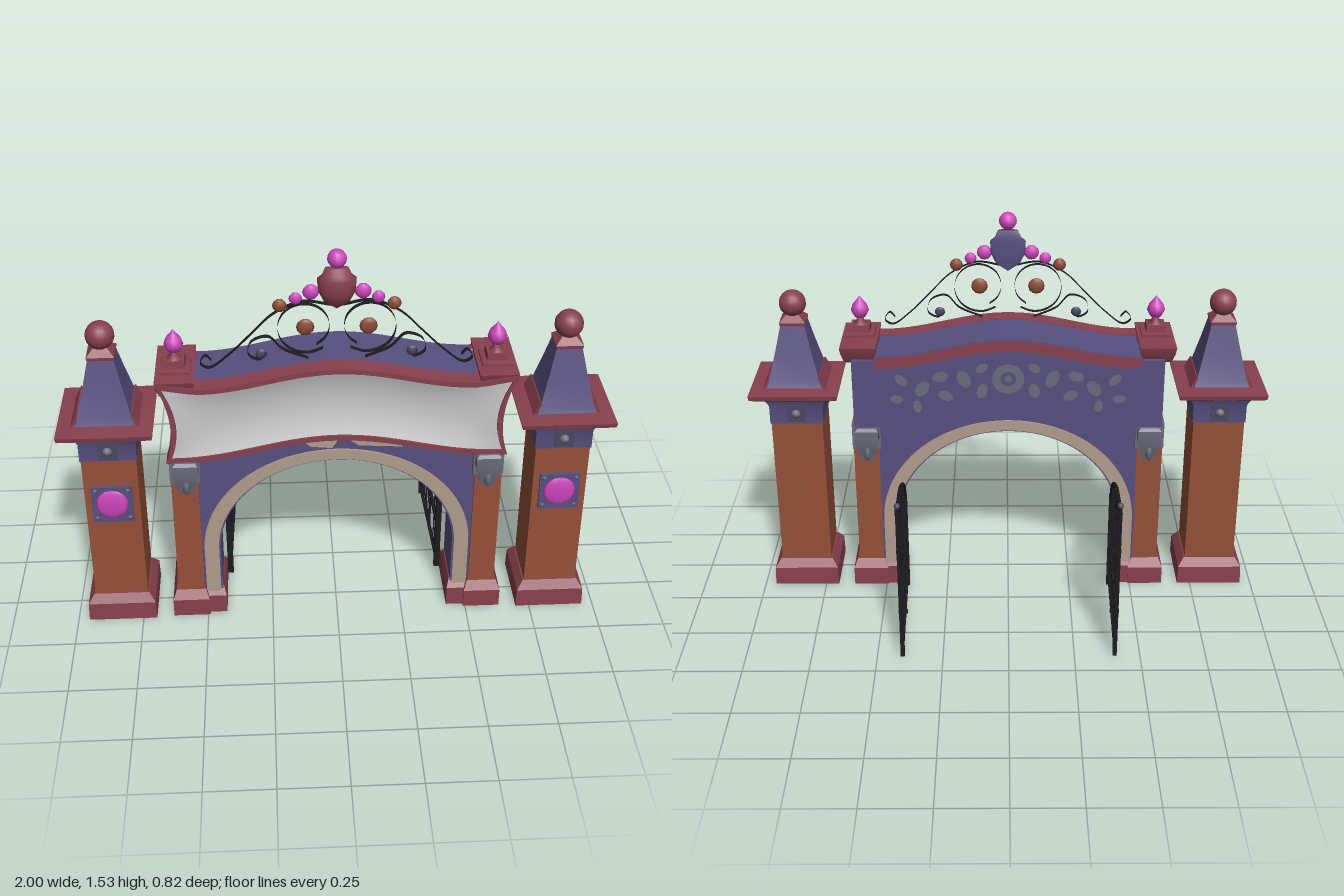
import * as THREE from 'three';
import { toCreasedNormals } from 'three/addons/utils/BufferGeometryUtils.js';

const mat = (name, color, side = THREE.FrontSide) => {
  const m = new THREE.MeshStandardMaterial({ color, side });
  m.name = name;
  return m;
};

export function createModel() {
  const root = new THREE.Group();
  root.name = 'archGateway';
  const brick = mat('brick orange', 0x96503a);
  const red = mat('dull red', 0x88404e);
  const purple = mat('slate purple', 0x575080);
  const magenta = mat('magenta', 0xcc46bc);
  const pale = mat('sign grey', 0xc8c8c8, THREE.DoubleSide);
  const tan = mat('tan stone', 0xb09c8c);
  const iron = mat('black iron', 0x1d1d20, THREE.DoubleSide);
  const grey = mat('bracket grey', 0x6b6b7d);
  const copper = mat('copper', 0x8c4c34);
  const dark = mat('dark slate', 0x4a4860);

  const add = (name, geo, m, x = 0, y = 0, z = 0, parent = root) => {
    const mesh = new THREE.Mesh(geo, m);
    mesh.name = name;
    mesh.position.set(x, y, z);
    parent.add(mesh);
    return mesh;
  };
  const pts = a => a.map(p => new THREE.Vector2(p[0], p[1]));
  const box = (w, h, d) => new THREE.BoxGeometry(w, h, d);
  const ball = (r, n = 12) => new THREE.SphereGeometry(r, n, Math.max(6, n * 0.7 | 0));
  // square section solid from [half width, y] steps; dz stretches the depth
  const square = (profile, dz = 1) => toCreasedNormals(new THREE.LatheGeometry(
    pts(profile.map(([r, y]) => [r * Math.SQRT2, y])), 4, Math.PI / 4).scale(1, 1, dz), 0.5);
  const lathe = (profile, n = 12) => new THREE.LatheGeometry(pts(profile), n);
  const slab = (shape, depth) => toCreasedNormals(
    new THREE.ExtrudeGeometry(shape, { depth, bevelEnabled: false, curveSegments: 24 }), 0.6);

  for (const s of [-1, 1]) {
    // outer tower
    const tower = new THREE.Group();
    tower.name = s > 0 ? 'leftTower' : 'rightTower';
    tower.position.set(s * 0.828, 0, 0.235);
    root.add(tower);
    const t = (name, geo, m, x = 0, y = 0, z = 0) => add(name, geo, m, x, y, z, tower);
    t('towerBase', square([[0, 0], [0.13, 0], [0.128, 0.075], [0.105, 0.108], [0, 0.108]]), red);
    t('towerShaft', box(0.2, 0.64, 0.2), brick, 0, 0.42);
    t('towerNeck', square([[0, 0.725], [0.104, 0.725], [0.104, 0.8], [0.12, 0.835], [0, 0.835]]), purple);
    t('towerCornice', square([[0, 0.825], [0.115, 0.825], [0.168, 0.852], [0.172, 0.87], [0.1, 0.878], [0, 0.878]]), red);
    t('towerRoof', square([[0.11, 0.87], [0.098, 0.9], [0.068, 1.02], [0.045, 1.12], [0, 1.13]]), purple);
    t('roofCollar', square([[0, 1.11], [0.048, 1.112], [0.05, 1.125], [0.025, 1.15], [0, 1.15]]), red);
    t('towerBall', ball(0.052, 16), red, 0, 1.19);
    for (const k of [-1, 1]) {
      const crest = t('roofSideCrest', box(0.008, 0.054, 0.21), red, k * 0.108, 0.894, 0);
      crest.rotation.z = k * 0.48;
      t('neckStudPlate', box(0.07, 0.07, 0.01), dark, 0, 0.768, k * 0.104);
      t('neckStud', ball(0.02, 8), grey, 0, 0.768, k * 0.104);
    }
    // jewelled plaque
    t('plaque', box(0.15, 0.155, 0.014), purple, 0, 0.535, 0.105);
    t('plaqueJewel', ball(0.062, 10), magenta, 0, 0.537, 0.111).scale.z = 0.2;
    for (const x of [-0.06, 0.06]) for (const y of [0.475, 0.597])
      t('rivet', ball(0.009, 6), grey, x, y, 0.11);

    // inner pillar
    add('pillarBase', square([[0, 0], [0.07, 0], [0.07, 0.075], [0.056, 0.108], [0, 0.108]], 1.8), red, s * 0.562, 0, 0.23);
    add('archFootBase', square([[0, 0], [0.04, 0], [0.04, 0.08], [0.03, 0.108], [0, 0.108]], 2.9), red, s * 0.467, 0, 0.225);
    add('pillarShaft', box(0.1, 0.64, 0.2), brick, s * 0.56, 0.42, 0.23);
    for (const k of [-1, 1]) {
      const z = 0.225 + k * 0.11;
      add('bracket', square([[0, 0.58], [0.026, 0.585], [0.036, 0.63], [0.046, 0.67], [0.046, 0.715], [0.036, 0.725], [0, 0.725]]), grey, s * 0.552, 0, z);
      add('bracketDrop', lathe([[0, 0.582], [0.014, 0.605], [0.011, 0.635], [0, 0.655]], 6), grey, s * 0.552, 0, z + k * 0.034);
    }
    add('pillarNeck', box(0.112, 0.11, 0.23), grey, s * 0.556, 0.675, 0.228);

    // end block of the beam with cap and finial
    add('beamEnd', box(0.11, 0.28, 0.2), purple, s * 0.545, 0.865, 0.195);
    add('beamEndCap', square([[0, 0.99], [0.055, 0.99], [0.066, 1.03], [0.07, 1.058], [0, 1.062]], 1.93), red, s * 0.572, 0, 0.226);
    add('finialBase', square([[0.055, 1.055], [0.055, 1.07], [0.038, 1.075], [0.036, 1.1], [0, 1.1]]), red, s * 0.572, 0, 0.25);
    add('finialStem', lathe([[0.032, 1.095], [0.012, 1.12], [0.02, 1.13], [0, 1.13]], 10), red, s * 0.572, 0, 0.25);
    add('finialBulb', lathe([[0, 1.122], [0.022, 1.13], [0.035, 1.155], [0.028, 1.178], [0.01, 1.2], [0, 1.215]]), magenta, s * 0.572, 0, 0.25);
  }

  // curves of the beam's upper and lower edges
  const topY = x => Math.abs(x) < 0.5 ? 1.03 + 0.035 * (1 + Math.cos(Math.PI * x / 0.5)) : 1.03 + (Math.abs(x) - 0.5) * 0.18;
  const botY = x => 0.72 + 0.041 * (1 + Math.cos(Math.PI * Math.min(1, Math.abs(x) / 0.58)));
  const edge = (w, f) => Array.from({ length: 29 }, (_, i) => {
    const x = -w + 2 * w * i / 28;
    return [x, f(x)];
  });
  const band = (w, low, high) => new THREE.Shape(pts([...edge(w, low), ...edge(w, high).reverse()]));

  // arch wall with stone trim on both faces
  const opening = (rx, top) => {
    const p = new THREE.Shape();
    p.moveTo(rx, 0);
    p.lineTo(rx, 0.3);
    p.absellipse(0, 0.3, rx, top - 0.3, 0, Math.PI, false, 0);
    p.lineTo(-rx, 0);
    return p.getPoints(20);
  };
  const wall = new THREE.Shape([...pts([[-0.51, 0], ...edge(0.51, x => botY(x) + 0.014), [0.51, 0]]), ...opening(0.44, 0.69)]);
  add('archWall', slab(wall, 0.19), purple, 0, 0, 0.13);
  const trim = new THREE.Shape([...opening(0.502, 0.738).reverse(), ...opening(0.447, 0.696)]);
  for (const z of [0.123, 0.319]) add('archTrim', slab(trim, 0.008), tan, 0, 0, z);
  // worn stone patches under the sign
  for (const [x, w] of [[-0.06, 0.06], [0.14, 0.1]]) {
    const patch = new THREE.Shape(pts([[x - w, botY(x - w) - 0.02], [x - w * 0.6, 0.752], [x + w * 0.7, 0.744],
      [x + w, botY(x + w) - 0.03], [x + w * 0.6, botY(x + w * 0.6) - 0.004], [x - w * 0.7, botY(x - w * 0.7) - 0.004]]));
    add('stonePatch', slab(patch, 0.006), tan, 0, 0, 0.318);
  }

  // curved beam
  add('beamBody', slab(band(0.5, botY, x => topY(x) - 0.003), 0.205), purple, 0, 0, 0.087);
  add('beamBackBand', slab(band(0.51, x => topY(x) - 0.05, x => topY(x) - 0.008), 0.008), red, 0, 0, 0.08);

  // sign: red frame around a hollowed pale panel
  const signPoint = (u, v, inset) => {
    const c = 2 * v - 1;
    const x = u * (0.595 + 0.034 * c * c + 0.011 * c - inset);
    return [x, THREE.MathUtils.lerp(botY(x) + inset, topY(x) - inset, v)];
  };
  const signLoop = inset => {
    const p = [];
    for (let i = 0; i < 28; i++) p.push(signPoint(-1 + i / 14, 0, inset));
    for (let i = 0; i < 10; i++) p.push(signPoint(1, i / 10, inset));
    for (let i = 0; i < 28; i++) p.push(signPoint(1 - i / 14, 1, inset));
    for (let i = 0; i < 10; i++) p.push(signPoint(-1, 1 - i / 10, inset));
    return pts(p);
  };
  const frame = new THREE.Shape(signLoop(0));
  frame.holes.push(new THREE.Path(signLoop(0.02)));
  add('signFrame', slab(frame, 0.07), red, 0, 0, 0.292);
  add('signBacking', slab(new THREE.Shape(signLoop(0.012)), 0.012), purple, 0, 0, 0.295);
  const panel = new THREE.PlaneGeometry(2, 1, 28, 10);
  const pp = panel.attributes.position;
  for (let i = 0; i < pp.count; i++) {
    const u = pp.getX(i), v = pp.getY(i) + 0.5;
    const [x, y] = signPoint(u, v, 0.018);
    pp.setXYZ(i, x, y, 0.355 - 0.025 * (1 - (2 * v - 1) ** 2) * (1 - u ** 6));
  }
  panel.computeVertexNormals();
  add('signPanel', panel, pale);

  // painted ornament on the back of the beam
  const plate = (geo, x, y, tilt = 0) => {
    const m = add('backOrnament', geo, grey, x, y, 0.084);
    m.rotation.set(0, Math.PI, tilt);
  };
  plate(new THREE.RingGeometry(0.03, 0.062, 20), 0, 0.935);
  plate(new THREE.CircleGeometry(0.015, 12), 0, 0.935);
  for (const s of [-1, 1]) [[0.1, 0.98, 0.026], [0.1, 0.885, 0.032], [0.17, 0.935, 0.038], [0.24, 0.865, 0.03],
    [0.26, 0.945, 0.032], [0.33, 0.895, 0.036], [0.35, 0.82, 0.026], [0.41, 0.93, 0.028], [0.43, 0.85, 0.026]].forEach(([x, y, r], i) => {
    plate(new THREE.CircleGeometry(r, 12).scale(1, 0.65, 1), s * x, y, s * (0.6 + i * 0.7));
  });

  // crest: iron ribbons set edge-on to the front
  const ribbon = (p, s) => {
    const curve = new THREE.CatmullRomCurve3(p.map(q => new THREE.Vector3(q[0] * s, q[1], 0)));
    const g = new THREE.PlaneGeometry(1, 0.022, 40, 1), a = g.attributes.position;
    for (let i = 0; i < a.count; i++) {
      const q = curve.getPoint(a.getX(i) + 0.5);
      a.setXYZ(i, q.x, q.y, a.getY(i));
    }
    g.computeVertexNormals();
    add('crestScroll', g, iron, 0, 0, 0.292);
  };
  const spiral = (cx, cy, r0, r1, a0, a1) => Array.from({ length: 15 }, (_, i) => {
    const k = i / 14, r = r0 + (r1 - r0) * k, a = a0 + (a1 - a0) * k;
    return [cx + r * Math.cos(a), cy + r * Math.sin(a)];
  });
  for (const s of [-1, 1]) {
    ribbon(spiral(0.11, 1.235, 0.105, 0.08, -2.2, 4.2), s);
    ribbon([[0.02, 1.32], [0.12, 1.335], [0.22, 1.29], [0.3, 1.21], [0.38, 1.13], [0.45, 1.08], [0.48, 1.1], [0.46, 1.13], [0.44, 1.11]], s);
    ribbon([[0.1, 1.11], [0.19, 1.15], [0.24, 1.2], [0.3, 1.18], [0.31, 1.13], [0.27, 1.11], [0.25, 1.14]], s);
    add('crestLeaf', ball(0.02, 6), dark, s * 0.265, 1.13, 0.292).scale.z = 0.4;
    add('scrollBoss', ball(0.032, 8), copper, s * 0.11, 1.235, 0.295).scale.z = 0.4;
    [[0.09, 1.372, 0.029, magenta], [0.143, 1.348, 0.023, magenta], [0.198, 1.322, 0.025, copper]].forEach(
      ([x, y, r, m]) => { add('crestBead', ball(r, 8), m, s * x, y, 0.295).scale.z = 0.6; });
  }
  // shield, with a deep red front and a shallow purple back
  const urn = [[0, 1.3], [0.045, 1.33], [0.065, 1.37], [0.068, 1.42], [0.05, 1.435], [0.04, 1.46], [0, 1.462]];
  [[red, -1, 0.68], [purple, 1, 0.14]].forEach(([m, k, depth]) => add('crestShield', new THREE.LatheGeometry(pts(urn), 10,
    k * Math.PI / 2, Math.PI).scale(1, 1, depth), m, 0, 0, 0.285));
  add('crestBall', ball(0.034), magenta, 0, 1.497, 0.295);

  // open gate leaves
  for (const s of [-1, 1]) {
    const leaf = new THREE.Group();
    leaf.name = s > 0 ? 'leftGate' : 'rightGate';
    leaf.position.set(s * 0.416, 0, 0.1);
    leaf.rotation.y = s * 0.025;
    root.add(leaf);
    const arc = new THREE.CatmullRomCurve3([[0, 0.41], [-0.02, 0.455], [-0.06, 0.497], [-0.12, 0.53], [-0.2, 0.563], [-0.35, 0.595], [-0.5, 0.617]]
      .map(([z, y]) => new THREE.Vector3(0, y, z)));
    add('gateTopRail', new THREE.TubeGeometry(arc, 24, 0.01, 6), iron, 0, 0, 0, leaf);
    add('hingePost', box(0.022, 0.42, 0.016), iron, 0, 0.21, 0, leaf);
    add('endPost', box(0.016, 0.64, 0.014), iron, 0, 0.32, -0.5, leaf);
    add('endPostKnob', ball(0.012, 8), dark, 0, 0.652, -0.5, leaf);
    for (const y of [0.2, 0.46]) add('latch', box(0.035, 0.012, 0.012), iron, -s * 0.008, y, -0.5, leaf);
    for (const [y, h] of [[0.035, 0.012], [0.2, 0.02], [0.375, 0.018]])
      add('gateRail', box(0.012, h, 0.5), iron, 0, y, -0.25, leaf);
    [0.06, 0.11, 0.22, 0.27, 0.33, 0.385, 0.43, 0.47].forEach((d, i) => {
      const top = 0.405 + 0.21 * Math.pow(d / 0.5, 0.42), w = i % 2 ? 0.004 : 0.008;
      add('gateBar', box(w, top - 0.03, w), iron, 0, 0.03 + (top - 0.03) / 2, -d, leaf);
    });
  }
  return root;
}
